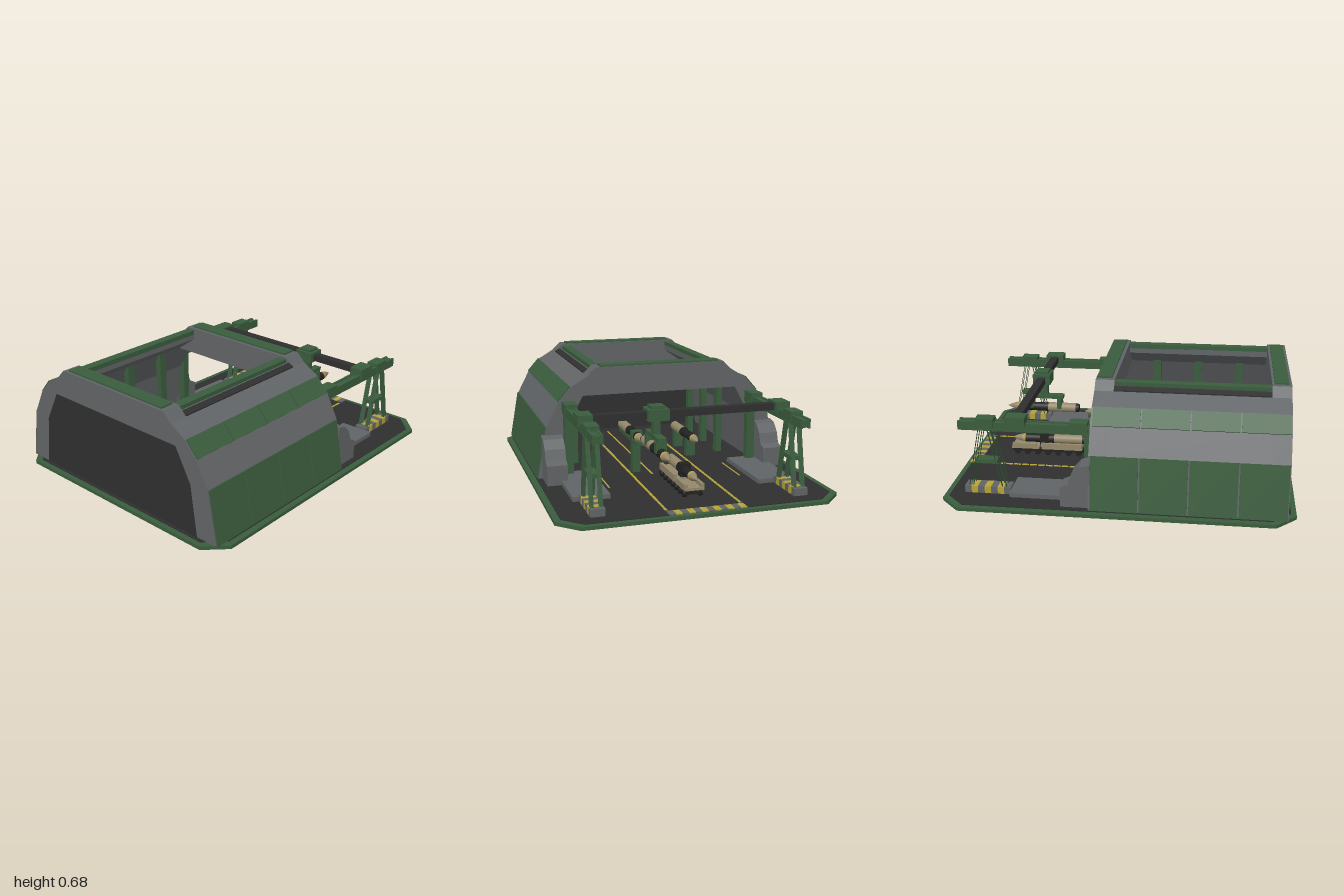
import * as THREE from 'three';

const mat = (name, color) => {
  const m = new THREE.MeshStandardMaterial({ color, side: THREE.DoubleSide });
  m.name = name;
  return m;
};

export function createModel() {
  const root = new THREE.Group();
  root.name = 'missileShelter';
  const green = mat('armourGreen', 0x3a5c3d);
  const gray = mat('concreteGray', 0x616466);
  const dark = mat('asphaltDark', 0x2f2f2f);
  const black = mat('rubberBlack', 0x222222);
  const tan = mat('missileTan', 0x94876a);
  const yellow = mat('markingYellow', 0xb5a23a);
  const brass = mat('noseOchre', 0xb39a4c);

  const add = (name, geo, m, parent = root) => {
    const mesh = new THREE.Mesh(geo, m);
    mesh.name = name;
    parent.add(mesh);
    return mesh;
  };
  // box from its minimum and maximum corners
  const box = (name, m, x0, x1, y0, y1, z0, z1, parent = root) => {
    const g = new THREE.BoxGeometry(Math.abs(x1 - x0), y1 - y0, z1 - z0);
    g.translate((x0 + x1) / 2, (y0 + y1) / 2, (z0 + z1) / 2);
    return add(name, g, m, parent);
  };
  const shape = pts => new THREE.Shape(pts.map(p => new THREE.Vector2(...p)));
  // polygon in x/y, extruded between two z values
  const prism = (name, m, pts, z0, z1, parent = root) => {
    const g = new THREE.ExtrudeGeometry(shape(pts), { depth: z1 - z0, bevelEnabled: false });
    g.translate(0, 0, z0);
    return add(name, g, m, parent);
  };
  const mirror = pts => [...pts, ...pts.map(([x, y]) => [-x, y]).reverse()];

  // ground slab with chamfered corners
  const slab = (name, m, hx, hz, c, y0, y1) => {
    const g = new THREE.ExtrudeGeometry(shape([[hx, c - hz], [hx, hz - c], [hx - c, hz], [c - hx, hz],
      [-hx, hz - c], [-hx, c - hz], [c - hx, -hz], [hx - c, -hz]]), { depth: y1 - y0, bevelEnabled: false });
    g.rotateX(-Math.PI / 2).translate(0, y0, 0);
    return add(name, g, m);
  };
  slab('baseSlab', green, 0.8, 1, 0.115, 0, 0.02);
  slab('apronFloor', dark, 0.765, 0.97, 0.105, 0.02, 0.024);

  // floor markings
  for (const s of [-1, 1]) {
    for (let z = -0.9; z < 0.65; z += 0.05)
      box('laneDash', yellow, s * 0.21 - 0.007, s * 0.21 + 0.007, 0.024, 0.027, z, z + 0.042);
    box('shortLine', yellow, s * 0.4 - 0.004, s * 0.4 + 0.004, 0.024, 0.027, -0.44, -0.16);
  }
  box('guideLine', yellow, 0.082, 0.092, 0.024, 0.027, -0.26, 0.83);
  for (let i = 0; i < 12; i++)
    box('thresholdStripe', i % 2 ? gray : yellow, -0.215 + i * 0.036, -0.179 + i * 0.036, 0.024, 0.03, -0.98, -0.92);

  // shelter: two end arches joined by thick side walls
  const outer = [[0.755, 0.024], [0.7, 0.33], [0.625, 0.475], [0.55, 0.56], [0.45, 0.62], [0.4, 0.67]];
  const inner = [[0.62, 0.024], [0.58, 0.32], [0.48, 0.505]];
  const archPts = [...mirror(outer), ...mirror(inner.map(([x, y]) => [-x, y]))];
  prism('frontArch', gray, archPts, 0.84, 0.95);
  prism('backArch', gray, archPts, -0.15, -0.04);
  prism('frontDoor', dark, mirror(inner), 0.935, 0.953);
  box('frontRoofPlate', green, -0.37, 0.37, 0.67, 0.679, 0.855, 0.935);
  box('backRoofPlate', green, -0.37, 0.37, 0.67, 0.679, -0.145, -0.06);

  const wallPts = [...outer.slice(0, 5), [0.42, 0.635], [0.345, 0.635], [0.345, 0.6], ...[...inner].reverse()];
  // thin armour plate lying on the wall between two profile points
  const plate = (name, s, a, b, z0, z1) => {
    const n = new THREE.Vector2(b[1] - a[1], a[0] - b[0]).normalize().multiplyScalar(0.008);
    prism(name, green, [a, [a[0] + n.x, a[1] + n.y], [b[0] + n.x, b[1] + n.y], b]
      .map(([x, y]) => [s * x, y]), z0, z1);
  };
  for (const s of [-1, 1]) {
    prism('sideWall', gray, wallPts.map(([x, y]) => [s * x, y]), -0.04, 0.84);
    for (let i = 0; i < 4; i++) {
      const z0 = -0.143 + i * 0.273;
      plate('lowerPanel', s, outer[0], outer[1], z0 + 0.004, z0 + 0.269);
      plate('upperPanel', s, outer[2], outer[3], z0 + 0.004, z0 + 0.269);
    }
    prism('roofGutter', dark, [[0.453, 0.621], [0.453, 0.628], [0.42, 0.643], [0.42, 0.636]]
      .map(([x, y]) => [s * x, y]), -0.04, 0.84);
    box('roofRail', green, s * 0.345, s * 0.4, 0.63, 0.658, -0.04, 0.84);
    for (const z of [0.13, 0.4, 0.67])
      box('innerColumn', green, s * 0.46, s * 0.5, 0.024, 0.53, z - 0.025, z + 0.025);
  }

  // blast buttresses and low concrete pads beside the opening
  for (const s of [-1, 1]) {
    const g = new THREE.ExtrudeGeometry(shape([[0.14, 0.024], [0.31, 0.024], [0.31, 0.14], [0.265, 0.16],
      [0.245, 0.22], [0.2, 0.27], [0.14, 0.285]]), { depth: 0.12, bevelEnabled: false });
    g.rotateY(Math.PI / 2).translate(s * 0.67 - 0.06, 0, 0);
    add('buttress', g, gray);
    box('concretePad', gray, s * 0.44, s * 0.65, 0.024, 0.05, -0.62, -0.14);
  }

  // gantry crane on two raised runways
  for (const s of [-1, 1]) {
    const side = new THREE.Group();
    side.name = 'craneRunway';
    side.position.x = s * 0.575;
    root.add(side);
    box('runwayWeb', green, -0.016, 0.016, 0.415, 0.455, -0.91, -0.14, side);
    for (const e of [-1, 1]) box('runwayRail', green, e * 0.016, e * 0.03, 0.41, 0.462, -0.91, -0.14, side);
    for (const z of [-0.22, -0.755]) box('railSaddle', green, -0.036, 0.036, 0.43, 0.482, z - 0.052, z + 0.052, side);
    box('beamTrolley', green, -0.042, 0.042, 0.44, 0.5, -0.635, -0.52, side);
    box('rearPost', green, -0.025, 0.025, 0.024, 0.415, -0.19, -0.145, side);
    box('legTie', green, -0.03, 0.03, 0.208, 0.232, -0.82, -0.69, side);
    // splayed legs, open on their flanks
    for (const e of [-1, 1]) for (const d of [-1, 1]) {
      const g = new THREE.BoxGeometry(0.02, 0.365, 0.024);
      g.setIndex(Array.from(g.index.array).slice(12));
      g.clearGroups();
      g.rotateX(-d * 0.2).translate(e * 0.025, 0.24, -0.755 + d * 0.062);
      add('craneLeg', g, green, side);
    }
    for (let i = 0; i < 7; i++)
      box('hazardFooting', i % 2 ? yellow : gray, -0.04, 0.04, 0.024, 0.066, -0.658 - i * 0.0385, -0.62 - i * 0.0385, side);
  }
  box('crossBeam', dark, -0.575, 0.575, 0.45, 0.49, -0.605, -0.555);
  const hx = 0.165;
  box('hoistBody', green, hx - 0.06, hx + 0.06, 0.44, 0.505, -0.635, -0.525);
  box('hoistCap', green, hx - 0.04, hx + 0.04, 0.505, 0.521, -0.62, -0.54);
  box('hoistMast', green, hx - 0.02, hx + 0.02, 0.35, 0.44, -0.595, -0.55);
  box('spreaderBar', green, hx - 0.025, hx + 0.025, 0.335, 0.357, -0.69, -0.45);
  for (const z of [-0.475, -0.66]) box('hoistClaw', green, hx - 0.032, hx + 0.032, 0.27, 0.335, z - 0.014, z + 0.014);

  // missile pointing to -z, tail at z = 0
  const missile = (x, y, z) => {
    const g = new THREE.Group();
    g.name = 'missile';
    g.position.set(x, y, z);
    root.add(g);
    const part = (name, m, r0, r1, a, b) => {
      const c = new THREE.CylinderGeometry(r1, r0, b - a, 14);
      c.rotateX(-Math.PI / 2).translate(0, 0, -(a + b) / 2);
      add(name, c, m, g);
    };
    part('nozzle', black, 0.026, 0.028, 0, 0.02);
    part('lowerStage', tan, 0.03, 0.03, 0.02, 0.2);
    part('stageRing', black, 0.031, 0.031, 0.2, 0.215);
    part('upperStage', black, 0.027, 0.027, 0.215, 0.385);
    part('noseBand', brass, 0.027, 0.022, 0.385, 0.405);
    part('noseCone', tan, 0.025, 0.012, 0.405, 0.445);
    part('noseTip', tan, 0.012, 0.001, 0.445, 0.47);
  };
  missile(hx, 0.27, -0.35);
  missile(hx, 0.25, 0.155);
  missile(-0.27, 0.15, 0.4);
  missile(-0.015, 0.125, -0.28);

  // storage cradles
  box('standPost', green, 0.14, 0.19, 0.024, 0.22, -0.19, -0.14);
  box('standTray', green, 0.135, 0.195, 0.213, 0.235, -0.29, 0.1);
  box('standCollar', green, 0.132, 0.198, 0.22, 0.282, -0.2, -0.165);
  for (const z of [0.08, 0.32]) box('floorCradle', green, -0.3, -0.24, 0.024, 0.135, z - 0.02, z + 0.02);

  // transporter truck
  const truck = new THREE.Group();
  truck.name = 'transporter';
  root.add(truck);
  box('chassis', black, -0.045, 0.045, 0.045, 0.065, -0.75, -0.29, truck);
  box('rearDeck', tan, -0.058, 0.055, 0.065, 0.09, -0.56, -0.3, truck);
  box('frontDeck', tan, -0.058, 0.055, 0.065, 0.08, -0.75, -0.575, truck);
  for (const [a, b] of [[-0.06, -0.042], [0.035, 0.055]]) {
    box('deckRail', tan, a, b, 0.08, 0.105, -0.56, -0.3, truck);
    box('cab', tan, a, b, 0.075, 0.1, -0.745, -0.59, truck);
  }
  box('clamp', black, -0.045, 0.015, 0.09, 0.165, -0.57, -0.515, truck);
  for (const s of [-1, 1]) for (let i = 0; i < 7; i++) {
    const w = new THREE.CylinderGeometry(0.019, 0.019, 0.02, 10);
    w.rotateZ(Math.PI / 2).translate(s * 0.047, 0.043, -0.32 - i * 0.066);
    add('wheel', w, black, truck);
  }
  return root;
}
